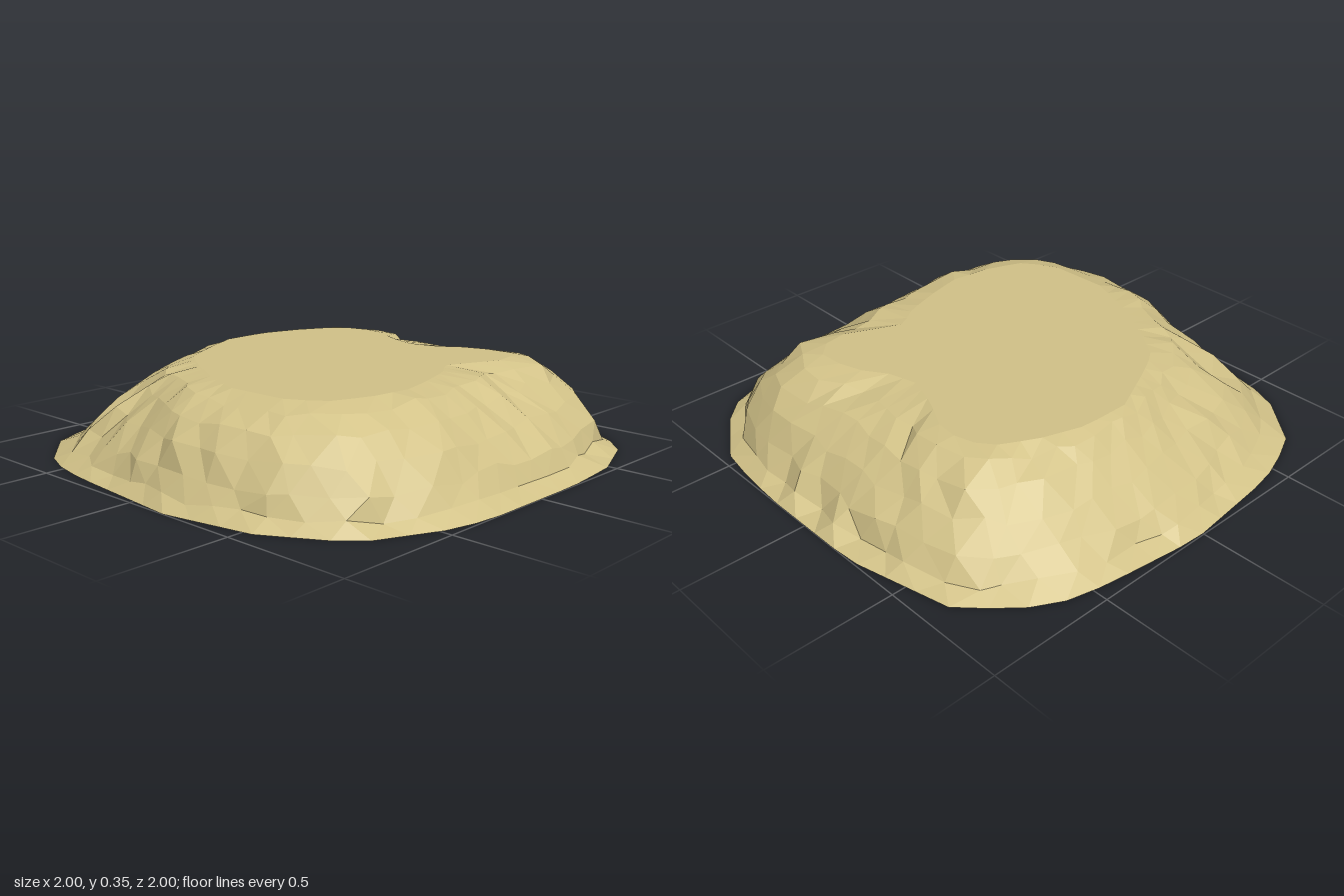
import * as THREE from 'three';

// Outlines as [x, z] corners, clockwise seen from above
const baseOutline = [[-0.26, -1], [0.22, -1], [0.54, -0.97], [0.85, -0.78], [0.97, -0.48], [1, -0.2], [1, 0.3],
  [0.97, 0.46], [0.83, 0.76], [0.54, 0.93], [0.18, 1], [-0.37, 0.95], [-0.61, 0.9], [-0.86, 0.69],
  [-0.95, 0.43], [-1, -0.04], [-0.95, -0.45], [-0.9, -0.66], [-0.69, -0.9]];
const topOutline = [[-0.27, -0.58], [-0.12, -0.5], [0.02, -0.45], [0.14, -0.48], [0.26, -0.56], [0.42, -0.59],
  [0.53, -0.48], [0.46, -0.32], [0.41, -0.2], [0.48, -0.1], [0.53, 0.05], [0.57, 0.2], [0.55, 0.38], [0.49, 0.53],
  [0.37, 0.61], [0.1, 0.62], [-0.1, 0.54], [-0.3, 0.43], [-0.43, 0.34], [-0.5, 0.21], [-0.6, 0],
  [-0.6, -0.2], [-0.55, -0.36], [-0.48, -0.5], [-0.39, -0.57]];

// Wall profile: [share of the way from base to top on the bulging sides, same on the straight -x side, height]
const profile = [[0, 0, 0], [0.12, 0.17, 0.04], [0.19, 0.33, 0.11], [0.32, 0.54, 0.2],
  [0.5, 0.74, 0.28], [0.73, 0.88, 0.332], [1, 1, 0.355]];
const COLUMNS = 54;

let seed = 7;
function noise() {
  seed = (seed * 16807) % 2147483647;
  return seed / 2147483647 - 0.5;
}

// Distance from the centre to an outline in a given direction
function radiusAt(outline, angle) {
  const dx = Math.cos(angle), dz = Math.sin(angle);
  for (let i = 0; i < outline.length; i++) {
    const [ax, az] = outline[i], [bx, bz] = outline[(i + 1) % outline.length];
    const ca = dx * az - dz * ax, cb = dx * bz - dz * bx;
    if (ca <= 0 && cb > 0) {
      const t = ca / (ca - cb);
      return Math.hypot(ax + (bx - ax) * t, az + (bz - az) * t);
    }
  }
  return 0.6;
}

function ringPoints(index) {
  const [bulging, straight, height] = profile[index];
  const inner = index > 0 && index < profile.length - 1;
  const points = [];
  for (let c = 0; c < COLUMNS; c++) {
    const angle = ((c + (index % 2) * 0.5 + (inner ? noise() * 0.5 : 0)) / COLUMNS) * Math.PI * 2;
    const side = Math.cos(angle);
    const share = THREE.MathUtils.lerp(bulging, straight, side < 0 ? -side : side * 0.3);
    const s = share + (inner ? noise() * 0.075 : 0);
    const r = THREE.MathUtils.lerp(radiusAt(baseOutline, angle), radiusAt(topOutline, angle), s);
    const y = height + (inner ? noise() * Math.min(0.028, (0.355 - height) * 1.6) : 0);
    points.push([r * Math.cos(angle), y, r * Math.sin(angle)]);
  }
  return points;
}

function meshFrom(name, positions, indices, material) {
  const indexed = new THREE.BufferGeometry();
  indexed.setAttribute('position', new THREE.Float32BufferAttribute(positions, 3));
  indexed.setIndex(indices);
  const geometry = indexed.toNonIndexed();
  geometry.computeVertexNormals();
  const mesh = new THREE.Mesh(geometry, material);
  mesh.name = name;
  return mesh;
}

export function createModel() {
  const group = new THREE.Group();
  group.name = 'rockPlateau';
  const sandstone = new THREE.MeshStandardMaterial({ color: 0xd2c288, flatShading: true, side: THREE.DoubleSide });
  sandstone.name = 'sandstone';

  const rings = profile.map((_, i) => ringPoints(i));

  // Rough sloping walls, open underneath
  const walls = [];
  for (let r = 0; r < rings.length - 1; r++) {
    for (let c = 0; c < COLUMNS; c++) {
      const n = (c + 1) % COLUMNS;
      const a = r * COLUMNS + c, b = r * COLUMNS + n;
      const d = a + COLUMNS, e = b + COLUMNS;
      if (r % 2 === 0) walls.push(a, d, b, b, d, e);
      else walls.push(a, d, e, a, e, b);
    }
  }
  group.add(meshFrom('rockySlopes', rings.flat(2), walls, sandstone));

  // Flat top as a fan
  const rim = rings[rings.length - 1];
  const fan = [];
  for (let c = 0; c < COLUMNS; c++) fan.push(COLUMNS, (c + 1) % COLUMNS, c);
  group.add(meshFrom('flatTop', [...rim.flat(), 0, 0.355, 0], fan, sandstone));

  return group;
}
